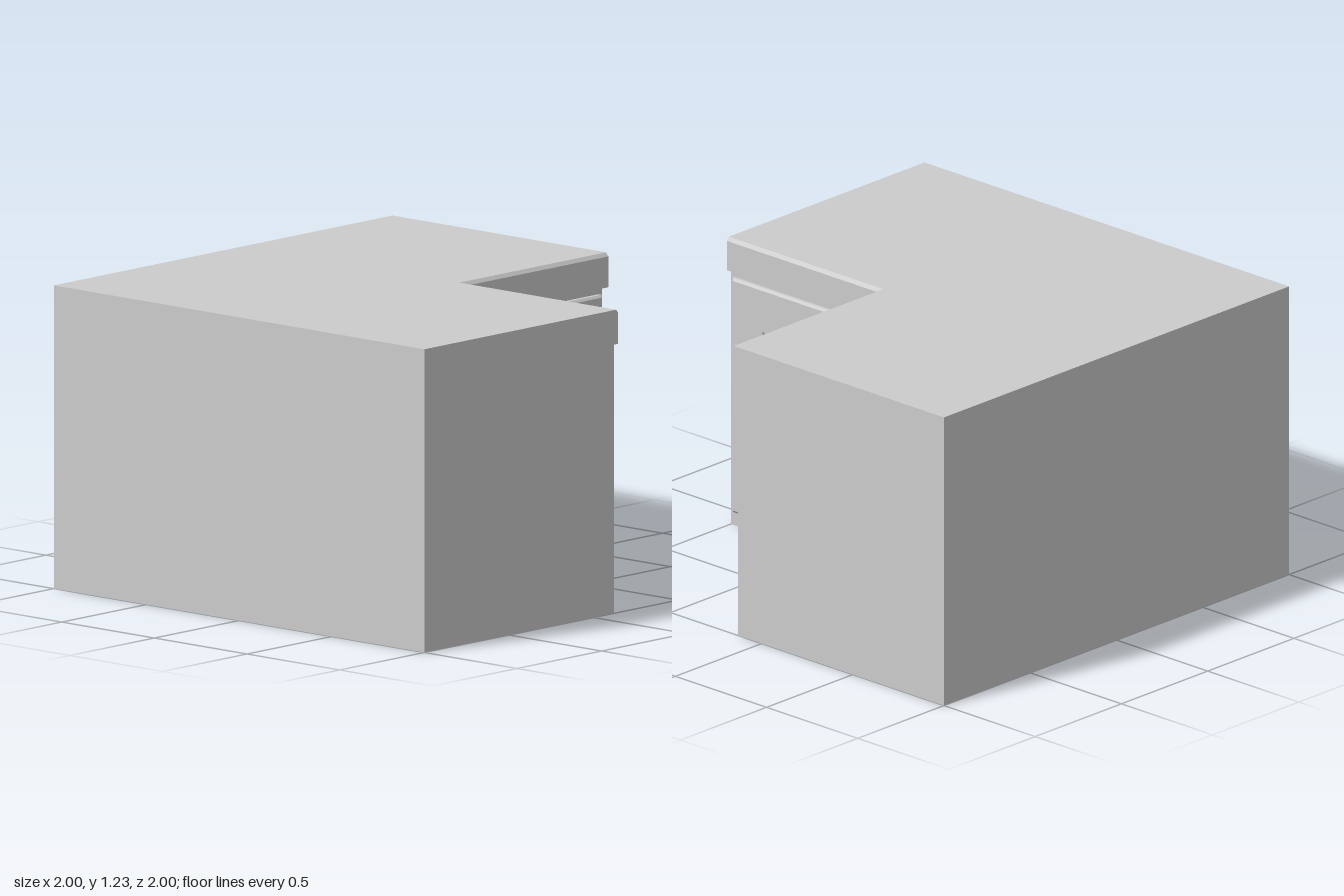
import * as THREE from 'three';

const material = new THREE.MeshStandardMaterial({ color: 0xcccccc });

function addMesh(parent, name, geometry) {
  const mesh = new THREE.Mesh(geometry, material);
  mesh.name = name;
  parent.add(mesh);
  return mesh;
}

// Extrudes a shape along z; selected edges of the front face get a chamfer.
function chamferedExtrude(shape, depth, drop, moveFront) {
  const geo = new THREE.ExtrudeGeometry(shape, { depth, steps: 2, bevelEnabled: false });
  const p = geo.attributes.position;
  for (let i = 0; i < p.count; i++) {
    const z = p.getZ(i);
    if (z > depth * 0.9) {
      const [x, y] = moveFront(p.getX(i), p.getY(i));
      p.setXY(i, x, y);
    } else if (z > depth * 0.1) p.setZ(i, depth - drop);
  }
  geo.computeVertexNormals();
  return geo;
}

// L-shaped plan with an inner corner at (x, z); shape y is -z.
function cornerPlan(x, z) {
  return new THREE.Shape([[-1, 1], [-1, -1], [x, -1], [x, -z], [1, -z], [1, 1]]
    .map(([a, b]) => new THREE.Vector2(a, b)));
}

// Door centred on its width, back at z = 0; side is the handle's direction.
function makeDoor(name, width, thickness, side) {
  const door = new THREE.Group();
  door.name = name;
  const hw = width / 2, bottom = 0.06, top = 1.06, inset = 0.01;
  const px = 0.241, py0 = 0.25, py1 = 0.875;

  const rect = (C, w, y0, y1) => new C([[-w, y0], [w, y0], [w, y1], [-w, y1]]
    .map(([a, b]) => new THREE.Vector2(a, b)));
  const frame = rect(THREE.Shape, hw, bottom, top);
  frame.holes.push(rect(THREE.Path, px, py0, py1));
  addMesh(door, 'doorFrame', chamferedExtrude(frame, thickness, 0.008, (x, y) => [
    Math.abs(x) > hw - 0.001 ? x - Math.sign(x) * inset : x,
    y < bottom + 0.001 ? y + inset : y > top - 0.001 ? y - inset : y,
  ]));

  // Recessed centre panel
  const panelDepth = thickness - 0.01;
  addMesh(door, 'doorPanel', new THREE.BoxGeometry(px * 2, py1 - py0, panelDepth))
    .position.set(0, (py0 + py1) / 2, panelDepth / 2);

  // Bar handle near the inner corner
  addMesh(door, 'handle', new THREE.BoxGeometry(0.25, 0.02, 0.03))
    .position.set(side * 0.24, 0.995, thickness + 0.015);
  return door;
}

export function createModel() {
  const model = new THREE.Group();
  model.name = 'cornerCabinet';

  // Carcass
  const bodyX = 0.12, bodyZ = 0.13, bodyTop = 1.09;
  addMesh(model, 'carcass', new THREE.ExtrudeGeometry(cornerPlan(bodyX, bodyZ),
    { depth: bodyTop, bevelEnabled: false })).rotation.x = -Math.PI / 2;

  // Worktop overhangs the doors, its inner edge chamfered
  const topX = 0.145, topZ = 0.165, chamfer = 0.012;
  const worktop = addMesh(model, 'worktop', chamferedExtrude(cornerPlan(topX, topZ), 0.14, 0.015,
    (x, y) => [
      Math.abs(x - topX) < 0.001 ? x - chamfer : x,
      Math.abs(y + topZ) < 0.001 ? y + chamfer : y,
    ]));
  worktop.rotation.x = -Math.PI / 2;
  worktop.position.y = bodyTop;

  // Two doors meeting at the inner corner
  const frontDoor = makeDoor('frontDoor', 0.835, 0.025, -1);
  frontDoor.position.set(0.5625, 0, bodyZ);
  const sideDoor = makeDoor('sideDoor', 0.825, 0.02, 1);
  sideDoor.rotation.y = Math.PI / 2;
  sideDoor.position.set(bodyX, 0, 0.5675);
  model.add(frontDoor, sideDoor);

  return model;
}
